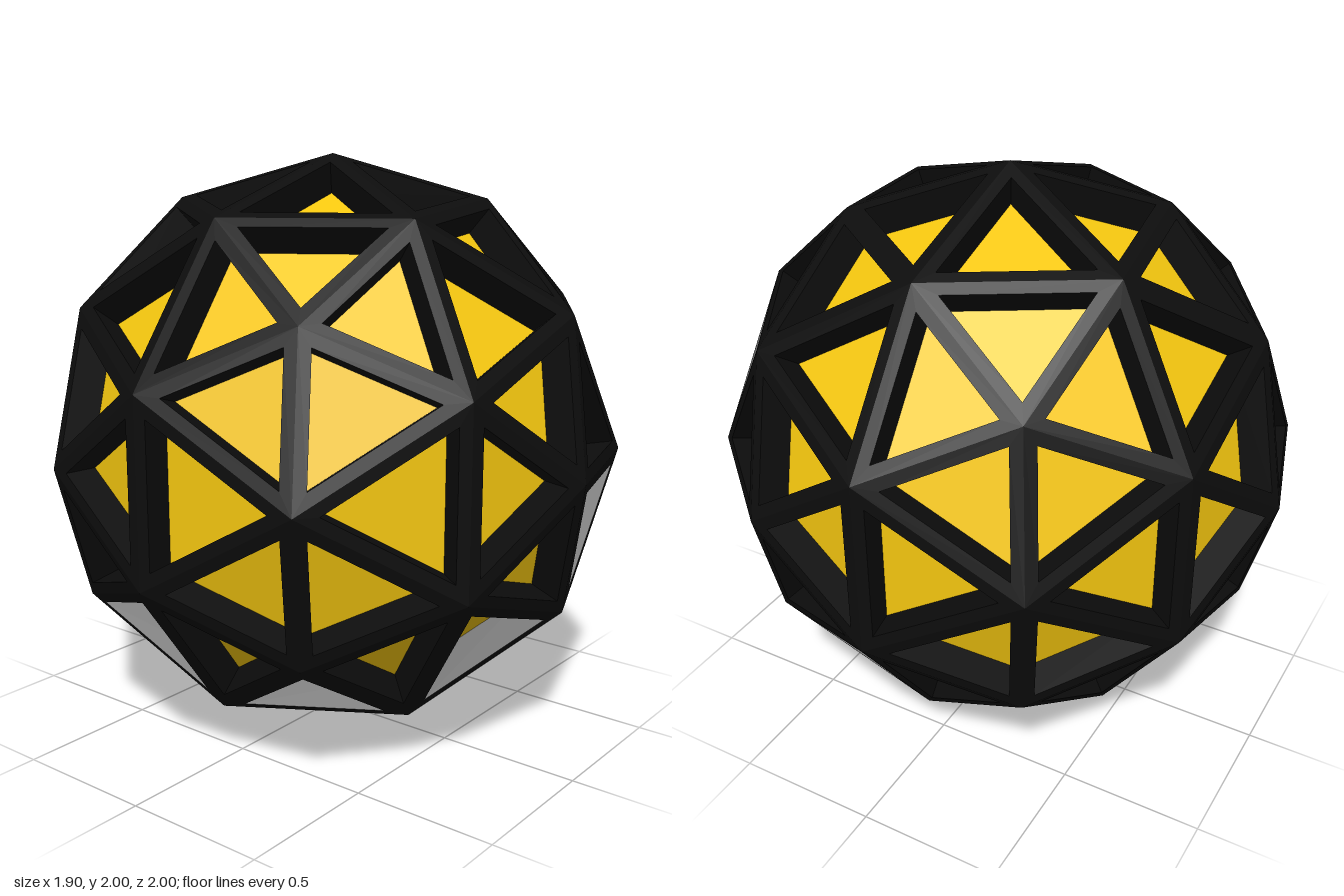
import * as THREE from 'three';

const RIM = 0.041;   // half the width of a strut
const DEPTH = 0.11;  // how far the panels sit below the struts

// Centre of the circle inscribed in a triangle, and its radius
function inscribed([a, b, c]) {
  const la = b.distanceTo(c), lb = c.distanceTo(a), lc = a.distanceTo(b);
  const sum = la + lb + lc;
  const centre = new THREE.Vector3()
    .addScaledVector(a, la / sum).addScaledVector(b, lb / sum).addScaledVector(c, lc / sum);
  return { centre, radius: 2 * new THREE.Triangle(a, b, c).getArea() / sum };
}

function flatMesh(name, points, color) {
  const geometry = new THREE.BufferGeometry().setFromPoints(points);
  geometry.computeVertexNormals();
  const mesh = new THREE.Mesh(geometry, new THREE.MeshStandardMaterial({ color, flatShading: true }));
  mesh.name = name;
  return mesh;
}

export function createModel() {
  const group = new THREE.Group();
  group.name = 'geodesicSphere';

  // Geodesic sphere with a five-way joint facing the front
  const sphere = new THREE.IcosahedronGeometry(1, 1);
  sphere.rotateX(Math.atan(2 / (1 + Math.sqrt(5))));
  sphere.rotateZ(Math.PI / 2);
  sphere.translate(0, 1, 0);
  const position = sphere.getAttribute('position');

  const frame = [], panels = [];
  const quad = (a, b, c, d) => frame.push(a, b, c, a, c, d);

  for (let i = 0; i < position.count; i += 3) {
    const outer = [0, 1, 2].map(k => new THREE.Vector3().fromBufferAttribute(position, i + k));
    const normal = new THREE.Triangle(...outer).getNormal(new THREE.Vector3());
    const { centre, radius } = inscribed(outer);

    // Opening in the face, and the same outline sunk below it
    const rim = outer.map(p => p.clone().lerp(centre, RIM / radius));
    const sunk = rim.map(p => p.clone().addScaledVector(normal, -DEPTH));

    for (let k = 0; k < 3; k++) {
      const n = (k + 1) % 3;
      quad(outer[k], outer[n], rim[n], rim[k]); // strut face
      quad(rim[k], rim[n], sunk[n], sunk[k]);   // strut wall
    }
    panels.push(...sunk);
  }

  group.add(flatMesh('strutFrame', frame, 0x0d0d0d));
  group.add(flatMesh('recessedPanels', panels, 0xf5c70f));
  return group;
}
